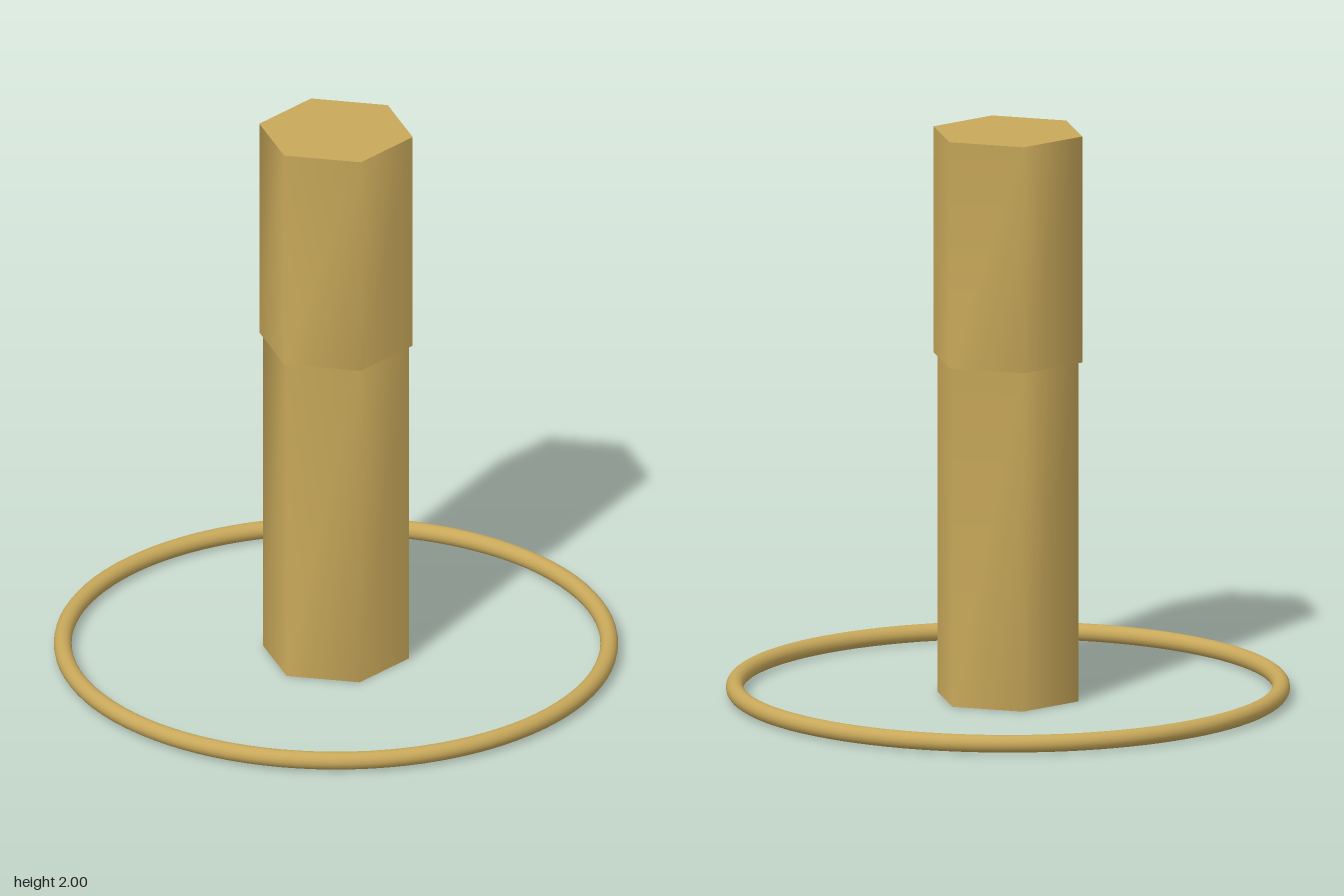
import * as THREE from 'three';

export function createModel() {
  const model = new THREE.Group();
  const brass = new THREE.MeshStandardMaterial({ color: 0xc8a85a });

  // Softly shaded hexagonal bar with its seam on the +x, +z corner
  function hexBar(name, radius, bottom, top) {
    const geometry = new THREE.CylinderGeometry(radius, radius, top - bottom, 6);
    geometry.rotateY(Math.PI / 3);
    geometry.computeVertexNormals();
    const bar = new THREE.Mesh(geometry, brass);
    bar.name = name;
    bar.position.y = (bottom + top) / 2;
    model.add(bar);
  }

  // Post: a slim shaft with a slightly wider head
  hexBar('shaft', 0.258, 0, 1.2);
  hexBar('head', 0.271, 1.2, 2);

  // Floating ring around the foot
  const ringGeometry = new THREE.TorusGeometry(0.946, 0.031, 16, 96);
  ringGeometry.rotateX(Math.PI / 2);
  const ring = new THREE.Mesh(ringGeometry, brass);
  ring.name = 'baseRing';
  ring.position.y = 0.034;
  model.add(ring);

  return model;
}
